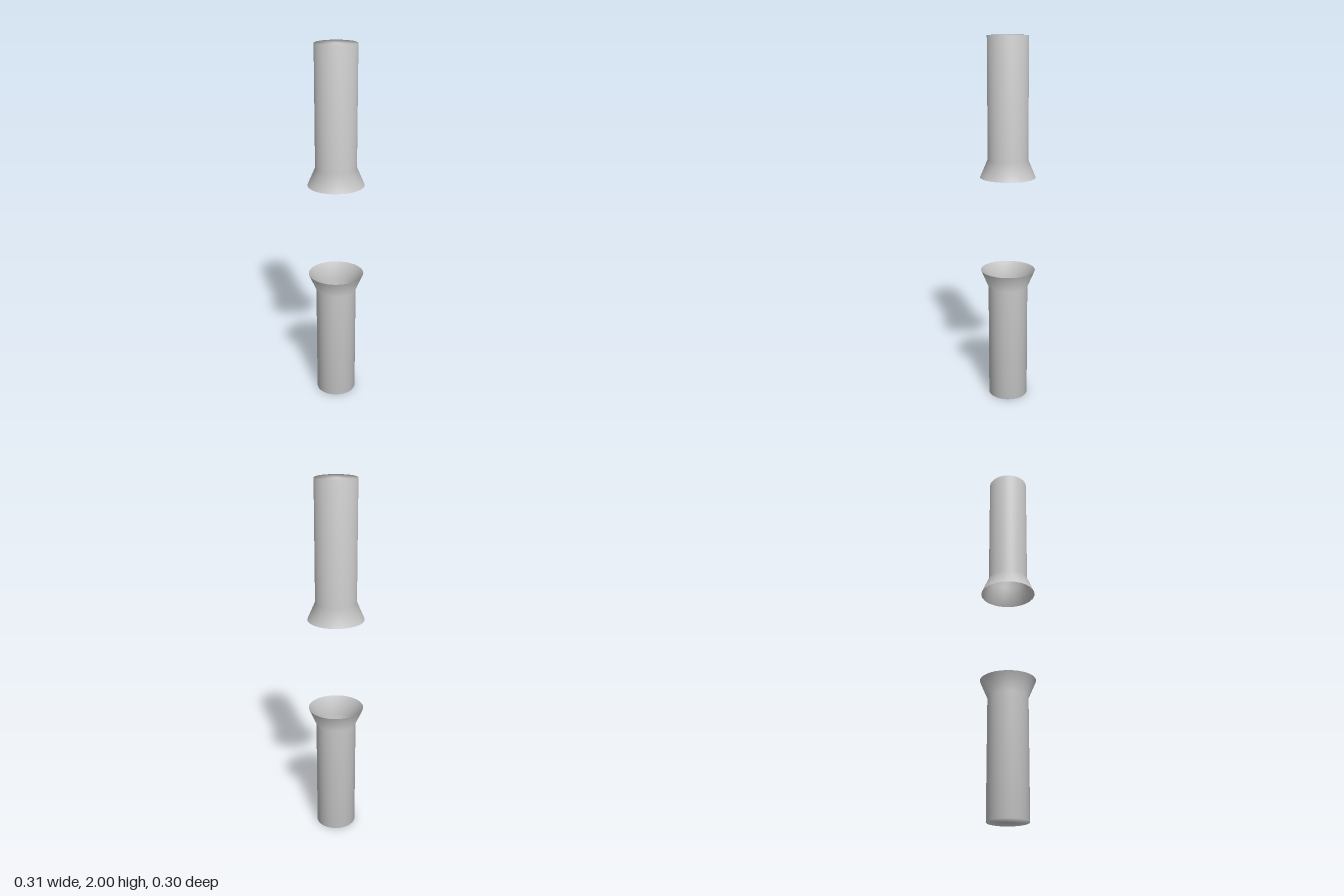
import * as THREE from 'three';

const TUBE_RADIUS = 0.111, FLARE_RADIUS = 0.153;
const MOUTH_Y = 0.74, NECK_Y = 0.643, HEIGHT = 2;

export function createModel() {
  const model = new THREE.Group();
  model.name = 'flaredTubePair';
  const material = new THREE.MeshStandardMaterial({ color: 0xcccccc, side: THREE.DoubleSide });

  // Closed outer end, straight wall, open flared mouth
  const profile = [[0, 0], [TUBE_RADIUS, 0], [TUBE_RADIUS, NECK_Y], [FLARE_RADIUS, MOUTH_Y]]
    .map(([r, y]) => new THREE.Vector2(r, y));
  // The upper tube is the same profile flipped, with its mouth facing down
  const flipped = profile.map((p) => new THREE.Vector2(p.x, HEIGHT - p.y)).reverse();

  const addTube = (name, points) => {
    const geometry = new THREE.LatheGeometry(points, 32);
    geometry.scale(1, 1, 0.976); // slightly oval section
    const tube = new THREE.Mesh(geometry, material);
    tube.name = name;
    model.add(tube);
  };
  addTube('lowerTube', profile);
  addTube('upperTube', flipped);
  return model;
}
